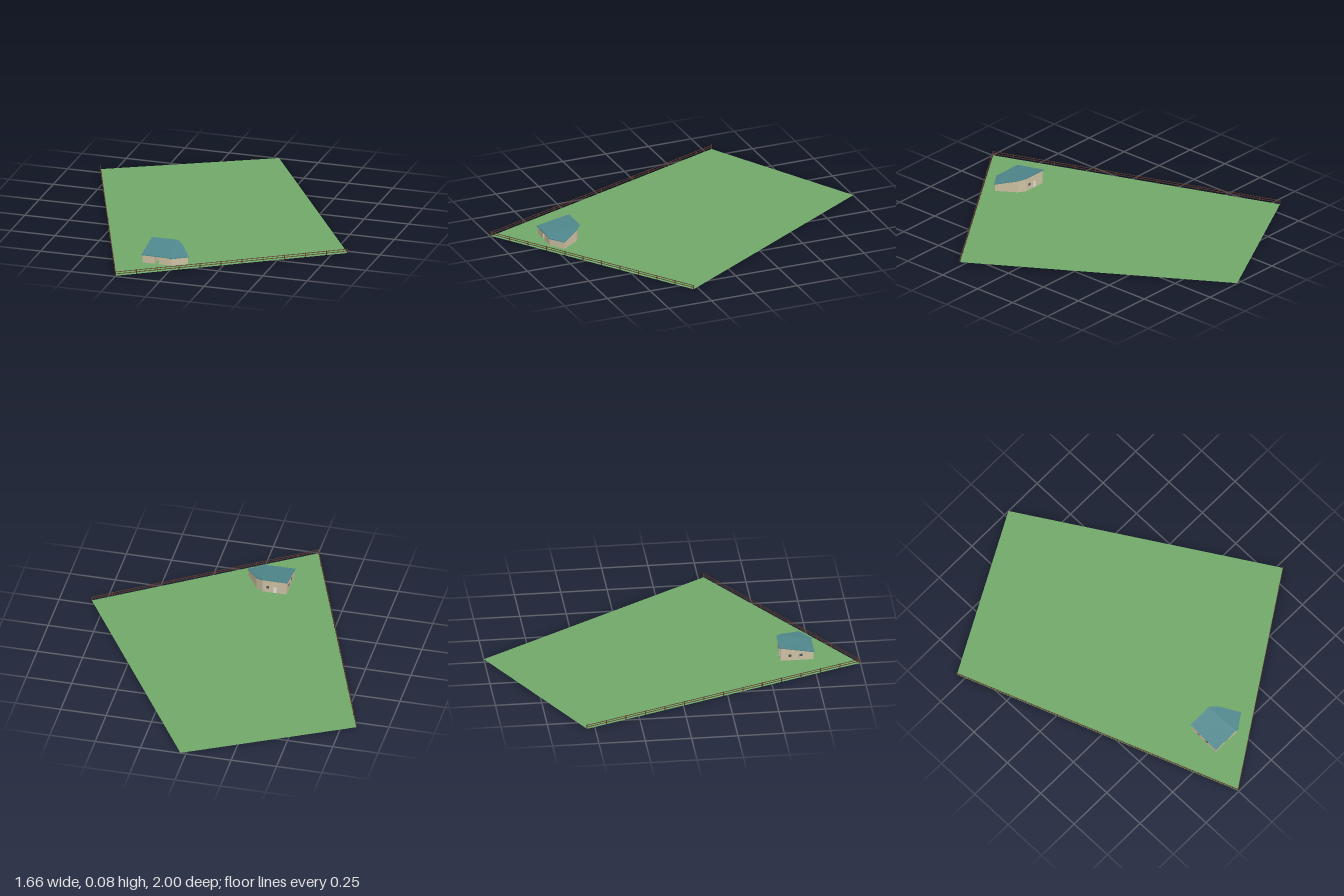
import * as THREE from 'three';

const mat = (name, color, double) => {
  const m = new THREE.MeshStandardMaterial({ color });
  m.name = name;
  if (double) m.side = THREE.DoubleSide;
  return m;
};
const M = {
  grass: mat('grass green', 0x70a868, true),
  roof: mat('roof teal', 0x4f878c),
  wall: mat('wall beige', 0xcdc1a3),
  fence: mat('fence brown', 0x5f3a2b),
  glass: mat('window grey', 0x4b5358),
  door: mat('door white', 0xf2f0ea),
};

// Plot corners as [x, z]
const BACK = [0.03, -1], LEFT = [0.827, 0.28], FRONT = [-0.25, 0.995], RIGHT = [-0.83, -0.545];

// Roof heights: one plane falls to the front, the other to the slanted eave
const frontFall = (x, z) => 0.049 + (0.76 - z) * 0.179;
const slantFall = (x, z) => 0.045 + 0.218 * ((0.07 - x) * 0.577 + (0.705 - z) * 0.817);
const roofY = (x, z) => Math.min(frontFall(x, z), slantFall(x, z));

const shapeOf = (pts) => new THREE.Shape(pts.map(([x, z]) => new THREE.Vector2(x, -z)));

// Prism over a plan polygon with its bottom and top moved to given heights
function prism(pts, bottom, top) {
  const g = new THREE.ExtrudeGeometry(shapeOf(pts), { depth: 1, bevelEnabled: false });
  g.rotateX(-Math.PI / 2);
  const p = g.attributes.position;
  for (let i = 0; i < p.count; i++) {
    const x = p.getX(i), z = p.getZ(i);
    p.setY(i, p.getY(i) > 0.5 ? top(x, z) : bottom(x, z));
  }
  g.computeVertexNormals();
  return g;
}

function add(group, name, geometry, material) {
  const mesh = new THREE.Mesh(geometry, material);
  mesh.name = name;
  group.add(mesh);
  return mesh;
}

// Thin plate on the wall running from a to b, at fraction t
function plate(group, name, a, b, t, w, h, y, material) {
  const m = add(group, name, new THREE.BoxGeometry(w, h, 0.003), material);
  m.position.set(a[0] + (b[0] - a[0]) * t, y, a[1] + (b[1] - a[1]) * t);
  m.rotation.y = Math.atan2(a[1] - b[1], b[0] - a[0]);
}

// Posts and two rails between two plot corners
function fence(name, a, b, bays) {
  const g = new THREE.Group();
  g.name = name;
  const dx = b[0] - a[0], dz = b[1] - a[1], len = Math.hypot(dx, dz);
  const post = new THREE.BoxGeometry(0.004, 0.025, 0.004);
  for (let i = 0; i <= bays; i++) {
    add(g, 'fencePost', post, M.fence)
      .position.set(-len / 2 + (len * i) / bays, 0.0145, 0);
  }
  for (const y of [0.013, 0.024]) {
    add(g, 'fenceRail', new THREE.BoxGeometry(len, 0.003, 0.002), M.fence).position.y = y;
  }
  g.position.set((a[0] + b[0]) / 2, 0, (a[1] + b[1]) / 2);
  g.rotation.y = Math.atan2(-dz, dx);
  return g;
}

function house() {
  const g = new THREE.Group();
  g.name = 'house';

  // Walls, with a recessed entrance at the front
  const plan = [
    [-0.175, 0.577], [-0.175, 0.755], [-0.108, 0.755], [-0.108, 0.69], [-0.082, 0.69],
    [-0.082, 0.755], [-0.016, 0.757], [0.064, 0.704], [-0.003, 0.604], [-0.042, 0.577],
  ];
  add(g, 'walls', prism(plan, () => 0, (x, z) => roofY(x, z) - 0.003), M.wall);

  // Two roof slopes meeting at a hip
  const slope = (name, pts) =>
    add(g, name, prism(pts, (x, z) => roofY(x, z) - 0.004, roofY), M.roof);
  slope('frontRoofSlope', [[-0.18, 0.571], [-0.18, 0.76], [-0.025, 0.76], [-0.042, 0.571]]);
  slope('slantedRoofSlope',
    [[-0.042, 0.571], [-0.025, 0.76], [-0.015, 0.765], [0.07, 0.705], [0.002, 0.603], [-0.035, 0.571]]);

  // Doors
  plate(g, 'backDoor', plan[9], plan[0], 0.52, 0.016, 0.036, 0.021, M.door);
  plate(g, 'frontDoor', plan[3], plan[4], 0.5, 0.018, 0.036, 0.021, M.door);

  // Windows
  for (const t of [0.28, 0.62]) {
    plate(g, 'sideWindow', plan[0], plan[1], t, 0.016, 0.014, 0.031, M.glass);
  }
  plate(g, 'backWindow', plan[9], plan[0], 0.22, 0.014, 0.014, 0.034, M.glass);
  return g;
}

export function createModel() {
  const model = new THREE.Group();
  model.name = 'housePlot';

  const lawn = new THREE.ShapeGeometry(shapeOf([BACK, RIGHT, FRONT, LEFT]));
  lawn.rotateX(-Math.PI / 2);
  add(model, 'lawn', lawn, M.grass).position.y = 0.002;

  model.add(fence('sideFence', RIGHT, FRONT, 14));
  model.add(fence('frontFence', FRONT, LEFT, 11));
  model.add(house());
  return model;
}
